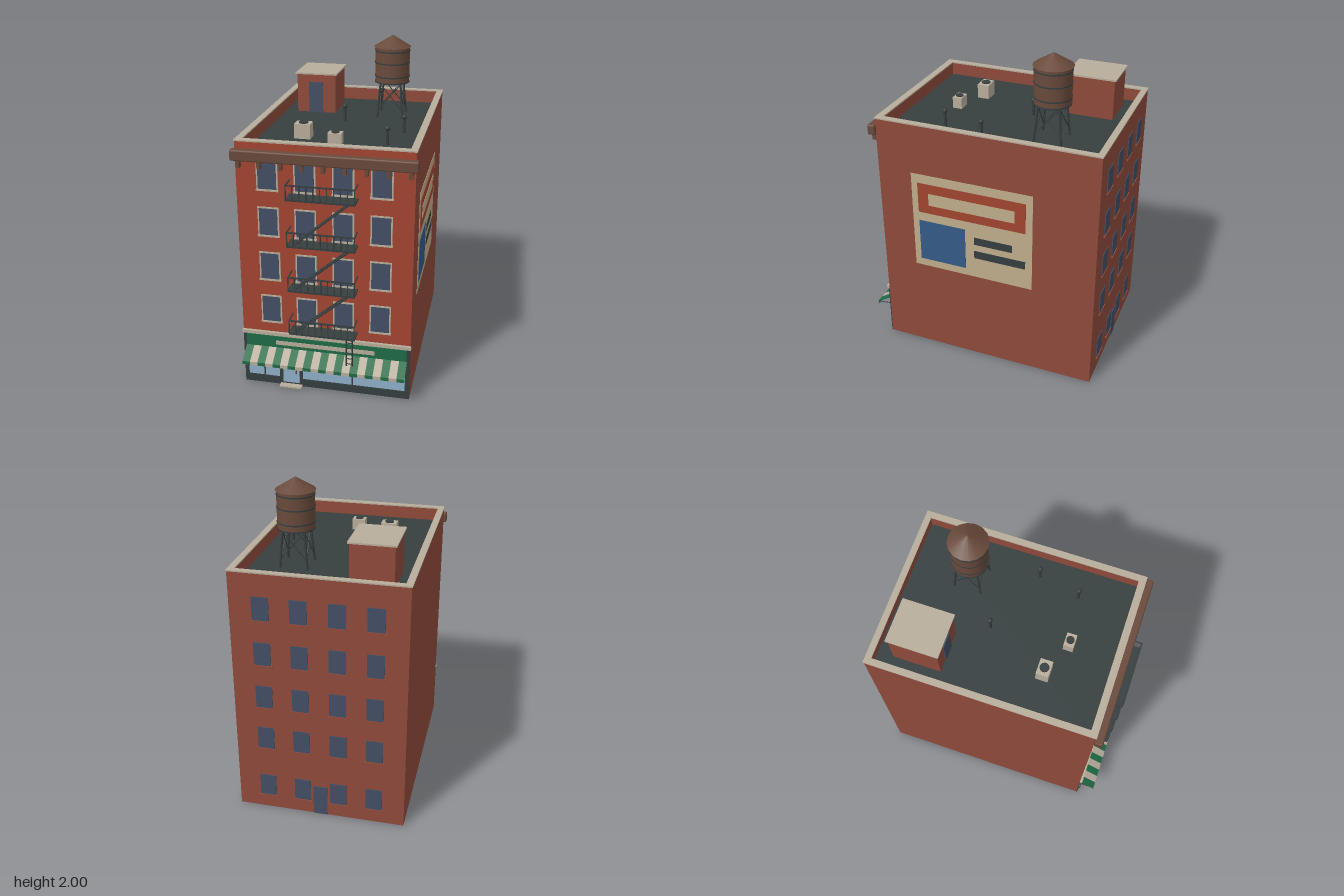
import * as THREE from 'three';
import { RoundedBoxGeometry } from 'three/addons/geometries/RoundedBoxGeometry.js';

const paint = (name, color, side = THREE.FrontSide) => {
  const m = new THREE.MeshStandardMaterial({ color, side });
  m.name = name;
  return m;
};

export function createModel() {
  const brick = paint('brick', 0x8f4a3a);
  const red = paint('redBrick', 0xa24530);
  const stone = paint('stone', 0xb8ad9c);
  const dark = paint('charcoal', 0x363e3f);
  const wood = paint('wood', 0x694a3b);
  const glass = paint('windowGlass', 0x434f64);
  const green = paint('green', 0x1f6b44, THREE.DoubleSide);
  const shopGlass = paint('shopGlass', 0x8fb0c8);
  const cream = paint('muralCream', 0xbfae8c);
  const blue = paint('muralBlue', 0x345a88);
  const cloth = stone;

  const root = new THREE.Group();
  root.name = 'cornerShopBuilding';
  const group = (name, parent = root) => {
    const g = new THREE.Group();
    g.name = name;
    parent.add(g);
    return g;
  };
  const add = (parent, name, geo, mat) => {
    const m = new THREE.Mesh(geo, mat);
    m.name = name;
    parent.add(m);
    return m;
  };
  // Box given by its minimum and maximum along each axis
  const box = (parent, name, mat, x0, x1, y0, y1, z0, z1) => {
    const m = add(parent, name, new THREE.BoxGeometry(x1 - x0, y1 - y0, z1 - z0), mat);
    m.position.set((x0 + x1) / 2, (y0 + y1) / 2, (z0 + z1) / 2);
    return m;
  };
  // Straight round bar between two points
  const bar = (parent, name, mat, a, b, r) => {
    const p = new THREE.Vector3(...a), q = new THREE.Vector3(...b);
    const d = q.clone().sub(p);
    const m = add(parent, name, new THREE.CylinderGeometry(r, r, d.length(), 6), mat);
    m.position.copy(p).add(q).multiplyScalar(0.5);
    m.quaternion.setFromUnitVectors(new THREE.Vector3(0, 1, 0), d.normalize());
  };
  const cyl = (parent, name, mat, x, y0, y1, z, r, n = 16) => {
    const m = add(parent, name, new THREE.CylinderGeometry(r, r, y1 - y0, n), mat);
    m.position.set(x, (y0 + y1) / 2, z);
  };

  const W = 0.512, F = 0.64, B = -0.735, DECK = 1.48, TOP = 1.56;
  const frontRed = [brick, brick, brick, brick, red, brick];

  // Walls, parapet and roof
  const shell = group('shell');
  box(shell, 'walls', frontRed, -W, W, 0, DECK - 0.005, B, F);
  box(shell, 'roofDeck', dark, -0.482, 0.482, DECK - 0.005, DECK, -0.706, 0.607);
  box(shell, 'frontParapet', frontRed, -W, W, DECK - 0.005, TOP, 0.605, F);
  box(shell, 'backParapet', brick, -W, W, DECK - 0.005, TOP, B, -0.705);
  for (const s of [-1, 1]) {
    const [a, b] = s < 0 ? [-W, -0.48] : [0.48, W];
    box(shell, 'sideParapet', brick, a, b, DECK - 0.005, TOP, -0.705, 0.605);
    box(shell, 'sideCoping', stone, a - 0.004, b + 0.004, TOP, 1.568, -0.705, 0.605);
  }
  box(shell, 'frontCoping', stone, -0.516, 0.516, TOP, 1.568, 0.601, 0.644);
  box(shell, 'backCoping', stone, -0.516, 0.516, TOP, 1.568, -0.739, -0.701);

  // Cornice with brackets
  const cornice = group('cornice');
  const beam = add(cornice, 'corniceBeam', new RoundedBoxGeometry(1.06, 0.064, 0.05, 1, 0.009), wood);
  beam.position.set(0, 1.488, 0.663);
  box(cornice, 'corniceBand', wood, -0.512, 0.512, 1.445, 1.465, F, 0.652);
  for (let i = 0; i < 9; i++) {
    const x = -0.488 + i * 0.122;
    box(cornice, 'bracket', wood, x - 0.01, x + 0.01, 1.413, 1.46, F, 0.676);
  }

  // Windows, four columns on the front and the back
  const columns = [-0.328, -0.11, 0.11, 0.328];
  const rows = [0.432, 0.714, 0.996, 1.278];
  const frontWindows = group('frontWindows'), backWindows = group('backWindows');
  for (const x of columns) {
    for (const y of rows) {
      box(frontWindows, 'windowFrame', stone, x - 0.063, x + 0.063, y, y + 0.182, F, F + 0.005);
      box(frontWindows, 'windowGlass', glass, x - 0.054, x + 0.054, y + 0.01, y + 0.173, F, F + 0.007);
      box(frontWindows, 'windowSill', stone, x - 0.066, x + 0.066, y - 0.002, y + 0.008, F, F + 0.01);
    }
    for (const y of [0.09, ...rows]) {
      box(backWindows, 'backGlass', glass, x - 0.05, x + 0.05, y, y + 0.145, B - 0.005, B);
      box(backWindows, 'backSill', brick, x - 0.058, x + 0.058, y - 0.008, y + 0.002, B - 0.01, B);
    }
  }
  box(backWindows, 'backDoor', glass, -0.043, 0.043, 0.002, 0.2, B - 0.006, B);

  // Painted mural on the left wall; z runs from front to back
  const mural = group('mural');
  const panel = (name, mat, z0, z1, y0, y1, layer) =>
    box(mural, name, mat, W, W + 0.002 * layer, y0, y1, z1, z0);
  panel('muralBoard', cream, 0.425, -0.347, 0.6, 1.245, 1);
  panel('muralBanner', red, 0.385, -0.305, 0.987, 1.187, 2);
  panel('muralBannerInset', cream, 0.315, -0.237, 1.045, 1.125, 3);
  panel('muralSquare', blue, 0.385, 0.082, 0.65, 0.928, 2);
  panel('muralShortBar', dark, 0.024, -0.22, 0.835, 0.885, 2);
  panel('muralLongBar', dark, 0.024, -0.305, 0.738, 0.79, 2);

  // Shop front
  const shop = group('shopFront');
  box(shop, 'shopSurround', dark, -W, W, 0, 0.345, F, 0.646);
  box(shop, 'shopLedge', stone, -0.516, 0.516, 0.345, 0.366, F, 0.657);
  box(shop, 'signBoard', green, -0.49, 0.49, 0.264, 0.34, F, 0.654);
  box(shop, 'signStripe', stone, -0.305, 0.3, 0.286, 0.312, F, 0.658);
  for (const [a, b] of [[-0.485, -0.39], [-0.38, -0.29], [-0.143, 0.16], [0.17, 0.485]])
    box(shop, 'shopWindow', shopGlass, a, b, 0.056, 0.25, F, 0.65);
  for (const [a, b] of [[-0.49, -0.288], [-0.148, 0.49]])
    box(shop, 'shopSill', dark, a, b, 0.046, 0.057, F, 0.657);
  box(shop, 'shopDoor', shopGlass, -0.268, -0.165, 0.022, 0.25, F, 0.65);
  box(shop, 'doorHandle', wood, -0.187, -0.18, 0.09, 0.13, F, 0.658);
  box(shop, 'doorStep', stone, -0.285, -0.148, 0, 0.011, F, 0.68);

  // Striped awning: sloped cloth with a short hanging edge
  const awning = group('awning');
  const profile = new THREE.Shape([[0.645, 0.262], [0.745, 0.2], [0.745, 0.178],
    [0.741, 0.178], [0.741, 0.197], [0.645, 0.256]].map(p => new THREE.Vector2(...p)));
  const stripeW = 0.988 / 21;
  for (let i = 0; i < 21; i++) {
    const geo = new THREE.ExtrudeGeometry(profile, { depth: stripeW, bevelEnabled: false });
    geo.rotateY(-Math.PI / 2);
    // After the turn the profile faces +z and the stripe runs towards -x
    add(awning, 'awningStripe', geo, i % 2 ? cloth : green).position.x = -0.494 + (i + 1) * stripeW;
  }
  for (const x of [-0.488, 0.488])
    bar(awning, 'awningArm', dark, [x, 0.205, F], [x, 0.192, 0.742], 0.003);

  // Fire escape
  const escape = group('fireEscape');
  const floors = [0.42, 0.702, 0.984, 1.266], Z = 0.733, L = -0.2, R = 0.195;
  floors.forEach((y, i) => {
    const landing = group('landing', escape);
    box(landing, 'platform', dark, L, R, y - 0.005, y + 0.006, F, Z + 0.003);
    box(landing, 'frontRail', dark, L, R, y + 0.083, y + 0.091, Z - 0.004, Z + 0.004);
    for (const x of [L + 0.003, R - 0.003])
      box(landing, 'sideRail', dark, x - 0.003, x + 0.003, y + 0.084, y + 0.09, F, Z);
    for (let k = 0; k <= 10; k++) {
      const x = L + 0.003 + (k / 10) * (R - L - 0.006);
      box(landing, 'baluster', dark, x - 0.003, x + 0.003, y, y + 0.085, Z - 0.003, Z + 0.003);
    }
    if (i === 3) return;
    const end = floors[i + 1];
    for (const z of [0.678, 0.718])
      bar(landing, 'stairStringer', dark, [-0.165, y, z], [0.165, end, z], 0.005);
    for (let k = 1; k < 9; k++) {
      const t = k / 9, x = -0.165 + 0.33 * t, h = y + (end - y) * t;
      box(landing, 'stairTread', dark, x - 0.008, x + 0.008, h - 0.002, h + 0.002, 0.678, 0.718);
    }
  });
  for (const x of [0.145, 0.18]) bar(escape, 'ladderRail', dark, [x, 0.24, 0.728], [x, 0.42, 0.728], 0.004);
  for (let y = 0.255; y < 0.42; y += 0.035)
    bar(escape, 'ladderRung', dark, [0.145, y, 0.728], [0.18, y, 0.728], 0.003);

  // Stair house on the roof
  const house = group('stairHouse');
  box(house, 'stairHouseWalls', brick, -0.4, -0.147, DECK, 1.73, -0.61, -0.318);
  box(house, 'stairHouseRoof', stone, -0.41, -0.137, 1.73, 1.74, -0.62, -0.308);
  box(house, 'stairHouseDoor', glass, -0.322, -0.23, DECK, 1.68, -0.318, -0.312);

  // Water tower
  const tower = group('waterTower');
  tower.position.set(0.22, 0, -0.35);
  cyl(tower, 'tankFloor', dark, 0, 1.702, 1.71, 0, 0.112);
  cyl(tower, 'tank', wood, 0, 1.708, 1.93, 0, 0.11);
  for (const y of [1.745, 1.83, 1.905]) cyl(tower, 'tankHoop', dark, 0, y - 0.004, y + 0.004, 0, 0.113);
  const roof = add(tower, 'tankRoof', new THREE.ConeGeometry(0.118, 0.072, 16), wood);
  roof.position.y = 1.964;
  const foot = [[1, 1], [1, -1], [-1, -1], [-1, 1]];
  foot.forEach(([x, z], i) => {
    const [u, w] = foot[(i + 1) % 4], a = 0.082, b = 0.064;
    bar(tower, 'towerLeg', dark, [x * a, DECK, z * a], [x * b, 1.705, z * b], 0.007);
    bar(tower, 'towerBrace', dark, [x * 0.078, 1.53, z * 0.078], [u * b, 1.695, w * b], 0.003);
    bar(tower, 'towerBrace', dark, [u * 0.078, 1.53, w * 0.078], [x * b, 1.695, z * b], 0.003);
  });

  // Vent pipes and cooling units
  const roofGear = group('roofGear');
  for (const [x, z] of [[-0.045, -0.14], [0.357, 0.032], [0.297, 0.29]]) {
    cyl(roofGear, 'ventPipe', dark, x, DECK, 1.575, z, 0.009, 10);
    const cap = add(roofGear, 'ventCap', new THREE.SphereGeometry(0.015, 10, 8), dark);
    cap.position.set(x, 1.578, z);
  }
  for (const [x, z, w, d, h, r] of [[-0.215, 0.245, 0.098, 0.075, 0.09, 0.028], [-0.002, 0.332, 0.082, 0.06, 0.07, 0.024]]) {
    box(roofGear, 'coolingUnit', stone, x - w / 2, x + w / 2, DECK, DECK + h, z - d / 2, z + d / 2);
    cyl(roofGear, 'coolingFan', dark, x, DECK + h, DECK + h + 0.006, z, r, 14);
  }
  return root;
}
